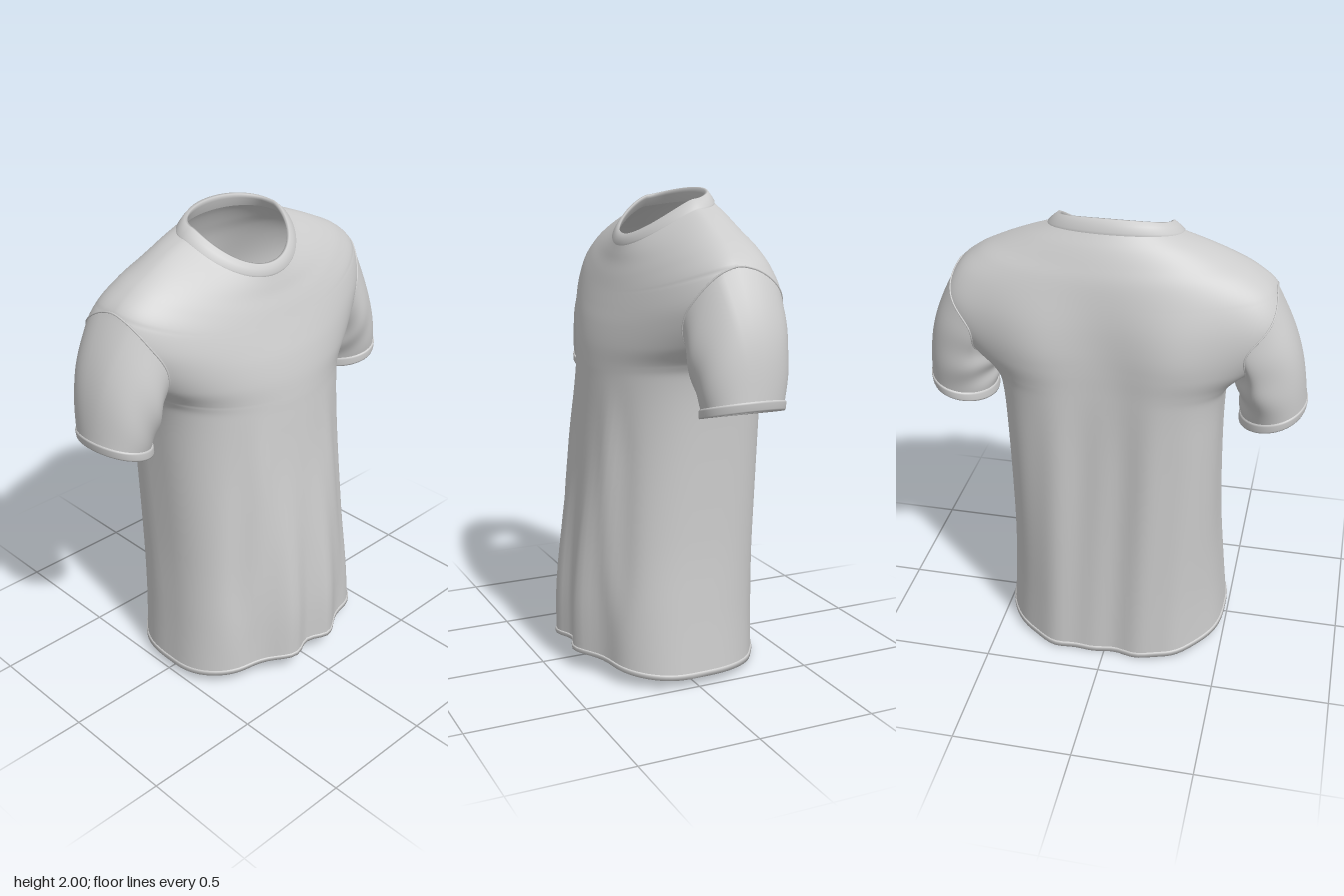
import * as THREE from 'three';
import { mergeVertices } from 'three/addons/utils/BufferGeometryUtils.js';

// Key rows from hem to neckline:
// side x, side y, side z, front y, front z, back y, back z
const ROWS = [
  [0.488, 0.04, 0.03, 0.085, 0.388, 0.005, -0.375],
  [0.465, 0.30, 0.02, 0.31, 0.386, 0.29, -0.372],
  [0.447, 0.60, -0.01, 0.60, 0.36, 0.60, -0.37],
  [0.443, 1.00, -0.05, 0.98, 0.312, 1.00, -0.37],
  [0.453, 1.25, -0.07, 1.22, 0.288, 1.25, -0.372],
  [0.485, 1.34, -0.085, 1.30, 0.28, 1.34, -0.372], // underarm
  [0.575, 1.43, -0.10, 1.38, 0.268, 1.42, -0.372],
  [0.645, 1.53, -0.105, 1.46, 0.248, 1.51, -0.37],
  [0.672, 1.63, -0.095, 1.53, 0.224, 1.61, -0.364],
  [0.632, 1.73, -0.08, 1.595, 0.20, 1.70, -0.352], // shoulder tip
  [0.555, 1.795, -0.08, 1.65, 0.18, 1.78, -0.335],
  [0.465, 1.842, -0.08, 1.70, 0.16, 1.84, -0.312],
  [0.365, 1.886, -0.085, 1.74, 0.147, 1.90, -0.282],
  [0.265, 1.923, -0.09, 1.775, 0.135, 1.95, -0.247],
];
const PIT = 5, TIP = 9, NECK = 13, SUB = 8, COLS = 48;

const material = new THREE.MeshStandardMaterial({ color: 0xcccccc, side: THREE.DoubleSide, roughness: 0.9 });
const smooth = THREE.MathUtils.smoothstep;
const bump = (x, c, w) => Math.exp(-(((x - c) / w) ** 2));

// Smooth interpolation of the key rows
function rowAt(v) {
  const i = Math.min(Math.floor(v), NECK - 1), t = v - i;
  const at = k => ROWS[Math.max(0, Math.min(NECK, k))];
  const [p, a, b, q] = [at(i - 1), at(i), at(i + 1), at(i + 2)];
  return a.map((_, k) => {
    const m0 = (b[k] - p[k]) / 2, m1 = (q[k] - a[k]) / 2, d = b[k] - a[k];
    return a[k] + t * (m0 + t * (3 * d - 2 * m0 - m1 + t * (m0 + m1 - 2 * d)));
  });
}

// Draped folds added to the depth of the cloth
function frontFold(x, y) {
  const ax = Math.abs(x), low = 1 - smooth(y, 0.2, 1.1);
  const drape = smooth(y, 0.15, 0.5) * (1 - smooth(y, 0.9, 1.3));
  return -0.024 * low * Math.cos(x * 26) * bump(x, 0, 0.2)
    - 0.03 * low * bump(ax, 0.27, 0.09)
    + 0.012 * drape * bump(ax, 0.19 + 0.1 * (1.1 - y), 0.04)
    - 0.012 * drape * bump(ax, 0.27 + 0.1 * (1.1 - y), 0.045);
}
function backFold(x, y) {
  const fade = 1 - smooth(y, 1.45, 1.85);
  const wave = Math.sin(Math.min(Math.abs(x) / 0.55, 1) * Math.PI) ** 2;
  return -fade * (0.042 * wave + 0.006 * Math.sin(x * 34 + y * 1.5) * (1 - smooth(y, 0.9, 1.5)));
}

// One ring: front panel from left to right, then back panel from right to left.
// A gap cuts the panels short at the sides to open the armholes.
function ringOf(row, { gap = 0, frontPower = 1, backPower = 0.9, drop = 1.7, folds = true, lift = 0 } = {}) {
  const [X, yS, zS, yF, zF, yB, zB] = row, ring = [];
  for (const front of [true, false]) {
    const mid = front ? zF + lift : zB - lift, power = front ? frontPower : backPower;
    const start = Math.asin((gap / Math.abs(mid - zS)) ** (1 / power));
    for (let j = 0; j <= COLS; j++) {
      const a = start + (Math.PI - 2 * start) * j / COLS;
      const s = Math.max(0, Math.sin(a) - 1e-12);
      const x = (X + lift) * Math.cos(a) * (front ? 1 : -1);
      const y = yS + ((front ? yF : yB) - yS) * s ** drop;
      let z = zS + (mid - zS) * s ** power;
      if (folds) z += s * (front ? frontFold(x, y) : backFold(x, y));
      ring.push(new THREE.Vector3(x, y, z));
    }
  }
  return ring;
}

function bodyRing(v, lift = 0) {
  const t = (v - PIT) / (TIP - PIT);
  const gap = t > 0 && t < 1 ? 0.205 * Math.sqrt(Math.sin(Math.PI * t)) : 0;
  return ringOf(rowAt(v), {
    gap, lift,
    frontPower: 0.88 + 0.12 * smooth(v, 4, 7),
    backPower: 0.64 - 0.23 * smooth(v, 0, 3.5) + 0.49 * smooth(v, 7, 12),
    drop: 1.7 - 0.4 * smooth(v, 10, 13),
  });
}

// Skin a list of equal rings; skip(i, j) leaves openings
function loft(name, rings, skip = () => false) {
  const n = rings[0].length, index = [];
  rings.slice(1).forEach((_, i) => {
    for (let j = 0; j < n; j++) {
      if (skip(i, j)) continue;
      const k = (j + 1) % n;
      const [a, b, c, d] = [i * n + j, i * n + k, (i + 1) * n + j, (i + 1) * n + k];
      index.push(a, c, b, b, c, d);
    }
  });
  let g = new THREE.BufferGeometry().setFromPoints(rings.flat());
  g.setIndex(index);
  g = mergeVertices(g, 1e-5);
  g.computeVertexNormals();
  const mesh = new THREE.Mesh(g, material);
  mesh.name = name;
  return mesh;
}

// Sleeve, armhole seam and cuff grown from the armhole edge
function makeSleeve(name, armhole, side) {
  const n = armhole.length;
  const cuffPoint = (j, grow, down) => {
    const a = 2 * Math.PI * j / n, c = Math.cos(a), r = 1 + grow;
    return new THREE.Vector3(0.659 - 0.131 * r * c - 0.01 * c * c - 0.1 * down,
      1.206 - 0.036 * c - down, -0.092 + 0.168 * r * Math.sin(a));
  };
  const place = ring => {
    const r = ring.map(p => new THREE.Vector3(p.x * side, p.y, p.z));
    return side < 0 ? r.reverse() : r;
  };
  const rings = [];
  for (let i = 0; i <= 20; i++) {
    const t = i / 20, swell = Math.sin(Math.PI * t);
    rings.push(place(armhole.map((p, j) => {
      const a = 2 * Math.PI * j / n, outer = (1 - Math.cos(a)) / 2;
      const q = p.clone().lerp(cuffPoint(j, 0, 0), t);
      // rounded shoulder cap and soft creases near the underarm
      const crease = 0.004 * swell * Math.sin(3 * a + 9 * t) * (1 + Math.cos(a));
      q.x += swell * 0.03 * outer - crease * Math.cos(a);
      q.y += swell * 0.012 * outer;
      q.z += swell * 0.012 * Math.sin(a) + crease * Math.sin(a);
      return q;
    })));
  }
  const band = [[-0.01, -0.003], [0.03, 0], [0.04, 0.006], [0.035, 0.03], [0.02, 0.037], [-0.03, 0.033], [-0.05, 0]]
    .map(([grow, down]) => place(armhole.map((_, j) => cuffPoint(j, grow, down))));
  const seamPath = new THREE.CatmullRomCurve3(place(armhole), true);
  const seam = new THREE.Mesh(new THREE.TubeGeometry(seamPath, 96, 0.004, 6, true), material);
  seam.name = 'armholeSeam';
  const group = new THREE.Group();
  group.name = name;
  group.add(loft('sleeveCloth', rings), loft('sleeveCuff', band), seam);
  return group;
}

export function createModel() {
  const shirt = new THREE.Group();
  shirt.name = 'shirt';

  // Body with armhole openings between the two panels
  const rings = [];
  for (let i = 0; i <= NECK * SUB; i++) rings.push(bodyRing(i / SUB));
  const sideGap = (i, j) => j === COLS || j === 2 * COLS + 1;
  shirt.add(loft('body', rings, sideGap));

  // Turned hem: inner fold, bottom edge and a slightly raised outer band
  const hem = [[0.16, -0.012], [0, -0.01], [0, 0.004], [0.1, 0.005], [0.13, 0.004], [0.14, -0.002]]
    .map(([v, lift]) => bodyRing(v, lift));
  shirt.add(loft('hem', hem, sideGap));

  // Ribbed collar band, rolled over into the neck opening
  const collar = [
    [0.268, 1.915, -0.09, 1.768, 0.136, 1.944, -0.249],
    [0.265, 1.928, -0.09, 1.778, 0.140, 1.958, -0.250],
    [0.245, 1.947, -0.09, 1.800, 0.132, 1.982, -0.238],
    [0.226, 1.962, -0.09, 1.817, 0.121, 2.000, -0.226],
    [0.216, 1.960, -0.09, 1.818, 0.112, 1.998, -0.214],
    [0.220, 1.945, -0.09, 1.802, 0.112, 1.980, -0.214],
    [0.248, 1.912, -0.09, 1.768, 0.122, 1.940, -0.230],
  ].map(row => ringOf(row, { folds: false, drop: 1.25 }));
  shirt.add(loft('collar', collar, sideGap));

  // Armhole loop: up the front edge, down the back edge
  const up = [], down = [];
  for (let i = PIT * SUB; i < TIP * SUB; i++) up.push(rings[i][0]);
  for (let i = TIP * SUB; i > PIT * SUB; i--) down.push(rings[i][2 * COLS + 1]);
  const armhole = [...up, ...down];
  shirt.add(makeSleeve('leftSleeve', armhole, 1), makeSleeve('rightSleeve', armhole, -1));
  return shirt;
}
